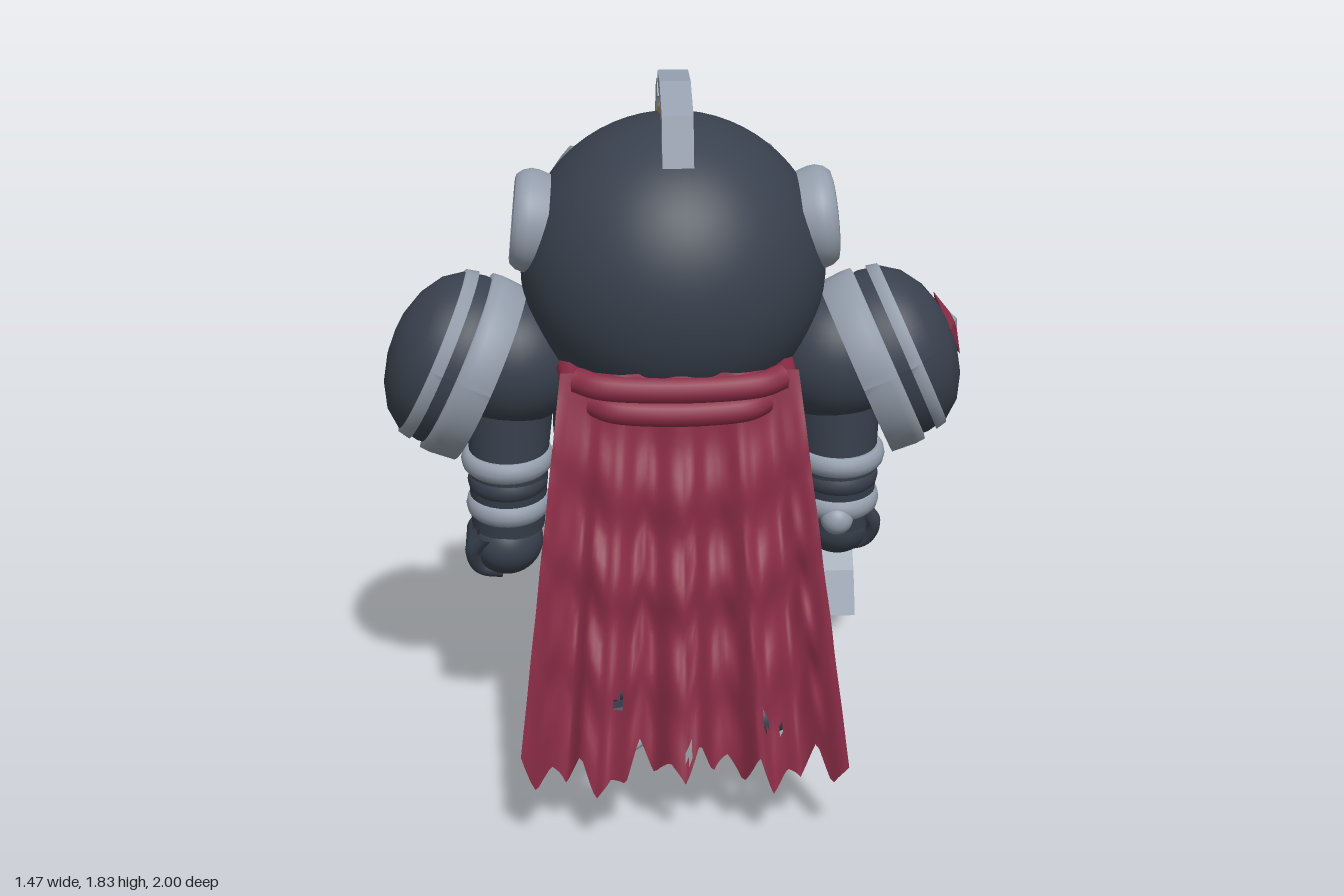
import * as THREE from 'three';

const paint = (name, color) => new THREE.MeshStandardMaterial({ name, color, side: THREE.DoubleSide });
const V = (x, y, z) => new THREE.Vector3(x, y, z);

export function createModel() {
  const navy = paint('dark armour', 0x39414e), steel = paint('steel', 0x949eac), red = paint('crimson cloth', 0x8b2d47);
  const black = paint('shadow black', 0x1c1c1d), gold = paint('gold', 0xc9922f), brown = paint('leather', 0x5f4a3c);
  const orange = paint('ember crack', 0xb4561f), darkBlade = paint('dark blade', 0x343a44);
  const model = new THREE.Group();

  const add = (parent, name, geo, mat, p = [0, 0, 0], r = [0, 0, 0], s = [1, 1, 1]) => {
    const m = new THREE.Mesh(geo, mat);
    m.name = name;
    m.position.set(...p); m.rotation.set(...r); m.scale.set(...s);
    parent.add(m);
    return m;
  };
  const ball = (parent, name, mat, p, s) => add(parent, name, new THREE.SphereGeometry(1, 40, 28), mat, p, [0, 0, 0], s);
  const group = (name, parent = model) => { const g = new THREE.Group(); g.name = name; parent.add(g); return g; };
  const tube = (parent, name, mat, pts, r, sharp = false) => add(parent, name,
    new THREE.TubeGeometry(new THREE.CatmullRomCurve3(pts, false, 'catmullrom', sharp ? 0 : 0.5), pts.length * 8, r, 8), mat);
  const limb = (parent, name, mat, a, b, ra, rb) => {
    const d = b.clone().sub(a), m = add(parent, name, new THREE.CylinderGeometry(rb, ra, d.length(), 28), mat);
    m.position.copy(a).addScaledVector(d, 0.5);
    m.quaternion.setFromUnitVectors(V(0, 1, 0), d.normalize());
  };
  const lathe = pts => new THREE.LatheGeometry(pts.map(p => new THREE.Vector2(...p)), 64).rotateZ(-Math.PI / 2);
  // plate outlined in (z, y), thick along x
  const sidePlate = (parent, name, mat, pts, x, width) => {
    const g = new THREE.ExtrudeGeometry(new THREE.Shape(pts.map(p => new THREE.Vector2(...p))), { depth: width, bevelEnabled: false });
    add(parent, name, g.rotateY(-Math.PI / 2).translate(x + width / 2, 0, 0), mat);
  };

  // ---------- head ----------
  const head = group('head'), HY = 1.335, HZ = 0.385, R = 0.385;
  const onHead = (a, y, r) => {
    const q = Math.sqrt(Math.max(0.001, r * r - (y - HY) ** 2));
    return [Math.sin(a) * q, y, HZ - Math.cos(a) * q];
  };
  // curved strip on the face: sections swept around the head
  const band = (name, mat, a0, a1, top, bottom, rIn, rOut) => {
    const pos = [], idx = [], n = 28;
    for (let i = 0; i <= n; i++) {
      const a = a0 + (a1 - a0) * i / n, o = rOut(a);
      const c = [[top(a), o], [(top(a) + bottom(a)) / 2, o], [bottom(a), o], [bottom(a), rIn], [top(a), rIn]];
      for (let k = 0; k < 5; k++) for (const e of [c[k], c[(k + 1) % 5]]) pos.push(...onHead(a, e[0], e[1]));
      if (i < n) for (let k = 0; k < 5; k++) {
        const p = i * 10 + k * 2, q = p + 10;
        idx.push(p, q, p + 1, p + 1, q, q + 1);
      }
    }
    for (const o of [0, n * 10]) idx.push(o, o + 2, o + 4, o, o + 4, o + 6, o, o + 6, o + 8);
    const g = new THREE.BufferGeometry();
    g.setAttribute('position', new THREE.Float32BufferAttribute(pos, 3));
    g.setIndex(idx); g.computeVertexNormals();
    add(head, name, g, mat);
  };
  const hood = new THREE.SphereGeometry(R, 64, 48, 0, Math.PI * 2, 1.14, Math.PI - 1.14);
  add(head, 'helmet', hood.rotateX(-Math.PI / 2 - 0.35), navy, [0, HY, HZ]);
  ball(head, 'face', black, [0, HY, HZ], [0.325, 0.335, 0.325]);
  band('brow', steel, -1.08, 1.08, a => 1.487 + 0.113 * Math.abs(a), a => 1.395 + 0.145 * Math.abs(a), 0.325, a => 0.383 + 0.014 * Math.abs(a));
  band('mouthGuard', steel, -0.98, 0.98, a => 1.295 + 0.015 * Math.abs(a), a => 1.10 + 0.02 * Math.abs(a), 0.315, a => 0.362 + 0.014 * Math.abs(a));
  for (const a of [-0.36, -0.12, 0.12, 0.36])
    band('breathSlit', navy, a - 0.026, a + 0.026, () => 1.25, () => 1.165, 0.36, b => 0.367 + 0.014 * Math.abs(b));
  for (const s of [-1, 1]) {
    const eye = group('eye', head);
    eye.position.set(...onHead(s * 0.35, 1.387, 0.334));
    eye.rotation.y = -s * 0.35;
    ball(eye, 'iris', gold, [0, 0, 0], [0.068, 0.068, 0.025]);
    ball(eye, 'pupil', black, [0, 0, -0.021], [0.014, 0.042, 0.009]);
    const ear = group('earDisc', head);
    ear.position.set(s * 0.345, 1.462, 0.425);
    ear.rotation.z = s * 0.1;
    ear.scale.x = s;
    add(ear, 'earRing', lathe([[0.118, -0.03], [0.128, 0], [0.13, 0.02], [0.124, 0.04], [0.112, 0.055], [0.1, 0.058], [0.098, 0.045]]), steel);
    add(ear, 'earCap', lathe([[0.1, 0.045], [0.06, 0.053], [0.0005, 0.056]]), navy);
  }
  // broken crest
  sidePlate(head, 'crestBack', steel, [[0.62, 1.64], [0.585, 1.76], [0.47, 1.82], [0.36, 1.825], [0.39, 1.795], [0.48, 1.775], [0.55, 1.73], [0.57, 1.65]], 0, 0.076);
  sidePlate(head, 'crestFront', steel, [[0.365, 1.76], [0.345, 1.79], [0.29, 1.79], [0.21, 1.65], [0.265, 1.66], [0.315, 1.745]], 0, 0.076);
  sidePlate(head, 'crestCore', navy, [[0.6, 1.64], [0.56, 1.74], [0.48, 1.79], [0.4, 1.8], [0.36, 1.76], [0.31, 1.76], [0.25, 1.64]], 0, 0.05);
  for (const s of [-1, 1]) ball(head, 'crestGem', gold, [s * 0.028, 1.745, 0.43], [0.014, 0.016, 0.045]).rotation.x = -0.35;

  // ---------- torso ----------
  const torso = group('torso');
  ball(torso, 'chest', navy, [0, 0.92, 0.39], [0.31, 0.31, 0.255]);
  ball(torso, 'hips', navy, [0, 0.58, 0.41], [0.255, 0.18, 0.215]);
  add(torso, 'belt', new THREE.CylinderGeometry(0.262, 0.268, 0.075, 44), brown, [0, 0.635, 0.4], [0, 0, 0], [1, 1, 0.86]);
  add(torso, 'buckle', new THREE.BoxGeometry(0.12, 0.08, 0.025), steel, [0, 0.635, 0.172]);
  const onChest = ([x, y]) => V(x, y, 0.388 - 0.255 * Math.sqrt(1 - (x / 0.31) ** 2 - ((y - 0.92) / 0.31) ** 2));
  for (const c of [[[-0.17, 1.02], [-0.13, 0.96], [-0.15, 0.9], [-0.09, 0.85]], [[0.2, 0.98], [0.17, 0.92], [0.19, 0.86]], [[-0.13, 0.96], [-0.09, 0.95]]])
    tube(torso, 'chestCrack', orange, c.map(onChest), 0.007, true);
  tube(torso, 'chestRim', navy, [[-0.23, 0.8], [-0.1, 0.72], [0, 0.7], [0.1, 0.72], [0.23, 0.8]].map(onChest), 0.017);
  const key = group('key', torso);
  key.position.set(0.205, 0.555, 0.155);
  add(key, 'keyRing', new THREE.TorusGeometry(0.042, 0.014, 10, 28), gold);
  add(key, 'keyShaft', new THREE.CylinderGeometry(0.013, 0.013, 0.11, 12), gold, [0, -0.095, 0]);
  for (const y of [-0.11, -0.14]) add(key, 'keyTooth', new THREE.BoxGeometry(0.045, 0.016, 0.018), gold, [0.02, y, 0]);

  // ---------- scarf and cape ----------
  const cloth = group('cloth');
  add(cloth, 'scarf', new THREE.TorusGeometry(0.26, 0.05, 14, 56), red, [0, 1.075, 0.37], [Math.PI / 2 + 0.06, 0, 0], [1, 1.02, 0.9]);
  for (const [y, w] of [[1.125, 0.25], [1.065, 0.21]])
    tube(cloth, 'capeRoll', red, [V(-w, y + 0.01, 0.69), V(-w * 0.7, y, 0.73), V(0, y - 0.005, 0.74), V(w * 0.7, y, 0.73), V(w, y + 0.01, 0.69)], 0.033);
  for (const s of [-1, 1]) {
    tube(cloth, 'shoulderCloth', red, [V(s * 0.26, 1.12, 0.69), V(s * 0.27, 1.11, 0.5), V(s * 0.28, 1.08, 0.2)], 0.03);
    const flap = new THREE.Shape([[-0.06, 0.08], [0.06, 0.08], [0.075, -0.07], [0.04, -0.04], [0.02, -0.1], [-0.015, -0.05], [-0.05, -0.09]].map(p => new THREE.Vector2(...p)));
    add(cloth, 'scarfEnd', new THREE.ExtrudeGeometry(flap, { depth: 0.02, bevelEnabled: false }), red, [s * 0.24, 1.03, 0.15], [0.1, -s * 0.5, 0]);
  }
  const nx = 96, ny = 40, cape = new THREE.PlaneGeometry(2, 1, nx, ny), cp = cape.attributes.position;
  for (let i = 0; i < cp.count; i++) {
    const u = cp.getX(i), t = 0.5 - cp.getY(i), w = 0.29 + 0.11 * t;
    const saw = Math.abs(((u + 1) * 5.5) % 1 - 0.5) * 2;                    // ragged hem
    const hem = 0.17 + 0.1 * saw * (0.75 + 0.25 * Math.sin(u * 17)) + 0.02 * Math.cos(u * 5);
    const fold = 0.045 * (0.15 + 0.85 * t) * Math.cos(u * 4 * Math.PI);
    const swag = 0.013 * Math.sin(26 * (t + 0.16 * u * u)) * Math.sin(t * Math.PI); // hanging drape lines
    cp.setXYZ(i, u * w, 1.155 + (hem - 1.155) * t, 0.715 + 0.235 * t - 0.025 * u * u * (1 - t) + fold + swag);
  }
  const holes = [[-0.16, 0.38, 0.016], [0.2, 0.335, 0.014], [0.235, 0.3, 0.01], [0.01, 0.265, 0.014]], ci = [...cape.index.array], kept = [];
  for (let i = 0; i < ci.length; i += 6) {
    const x = (cp.getX(ci[i]) + cp.getX(ci[i + 4])) / 2, y = (cp.getY(ci[i]) + cp.getY(ci[i + 4])) / 2;
    if (!holes.some(h => Math.hypot(x - h[0], y - h[1]) < h[2])) kept.push(...ci.slice(i, i + 6));
  }
  cape.setIndex(kept); cape.computeVertexNormals();
  add(cloth, 'cape', cape, red);

  // ---------- arms and legs ----------
  // rings around the pauldron axis, bent into a pointed-arch shield outline
  const shield = pts => {
    const g = lathe(pts), p = g.attributes.position;
    for (let i = 0; i < p.count; i++) {
      const y = p.getY(i), z = p.getZ(i), l = Math.hypot(y, z) || 1, c = y / l, s = Math.abs(z) / l;
      const k = c < 0 ? Math.sqrt(1.638 - 0.078 * c * c) - 0.28 * s : Math.sqrt(1.221 - 0.011 * c * c) - 0.105 * s;
      p.setXYZ(i, p.getX(i), y * k, z * k);
    }
    g.computeVertexNormals();
    return g;
  };
  for (const s of [-1, 1]) {
    const arm = group(s > 0 ? 'leftArm' : 'rightArm');
    arm.scale.x = s;
    ball(arm, 'shoulder', navy, [0.41, 1.1, 0.4], [0.18, 0.18, 0.18]);
    limb(arm, 'upperArm', navy, V(0.425, 0.82, 0.42), V(0.42, 1.0, 0.41), 0.1, 0.115);
    limb(arm, 'forearm', navy, V(0.43, 0.64, 0.39), V(0.425, 0.85, 0.42), 0.095, 0.105);
    for (const [y, z, r, mat] of [[0.835, 0.42, 0.1, steel], [0.775, 0.415, 0.085, navy], [0.705, 0.405, 0.09, steel]])
      add(arm, 'armBand', new THREE.TorusGeometry(r, 0.019, 10, 40), mat, [0.428, y, z], [Math.PI / 2 + 0.12, 0, 0], [1, 1, 1.5]);
    ball(arm, 'hand', navy, [0.435, s > 0 ? 0.62 : 0.59, s > 0 ? 0.36 : 0.385], [0.095, 0.09, 0.11]);
    for (let i = 0; i < 4; i++) {
      const z = (s > 0 ? 0.43 : 0.45) - i * 0.048, y = s > 0 ? 0.635 - i * 0.01 : 0.585;
      tube(arm, 'finger', navy, [V(0.49, y + 0.05, z + 0.02), V(0.52, y, z), V(0.5, y - 0.055, z - 0.025), V(0.445, y - 0.065, z - 0.025)], 0.023);
    }
    const pad = group('pauldron', arm);
    pad.position.set(0.53, 1.1, 0.415);
    pad.rotation.z = 0.42;
    add(pad, 'pauldronDome', shield([[0.195, -0.03], [0.2, 0.03], [0.19, 0.085], [0.16, 0.13], [0.11, 0.165], [0.05, 0.185], [0.0005, 0.19]]), navy);
    add(pad, 'pauldronRim', shield([[0.19, -0.075], [0.21, -0.075], [0.214, -0.01], [0.212, 0.015], [0.19, 0.02]]), steel);
    add(pad, 'pauldronBand', shield([[0.19, 0.052], [0.203, 0.052], [0.197, 0.082], [0.18, 0.088]]), steel);
    if (s > 0) {
      add(pad, 'redDiamond', new THREE.OctahedronGeometry(1), red, [0.184, 0, 0], [0, 0, 0], [0.024, 0.092, 0.058]);
      add(pad, 'diamondHeart', new THREE.OctahedronGeometry(1), steel, [0.198, 0, 0], [0, 0, 0], [0.014, 0.034, 0.018]);
    }

    const leg = group(s > 0 ? 'leftLeg' : 'rightLeg');
    leg.scale.x = s;
    ball(leg, 'thigh', navy, [0.18, 0.45, 0.385], [0.165, 0.165, 0.17]);
    limb(leg, 'shin', navy, V(0.2, 0.1, 0.41), V(0.195, 0.33, 0.41), 0.125, 0.11);
    add(leg, 'ankleBand', new THREE.CylinderGeometry(0.118, 0.123, 0.035, 36), steel, [0.2, 0.295, 0.415]);
    add(leg, 'ankleStrap', new THREE.CylinderGeometry(0.126, 0.128, 0.014, 36), brown, [0.2, 0.268, 0.415]);
    add(leg, 'bootCuff', new THREE.TorusGeometry(0.105, 0.03, 10, 36), navy, [0.2, 0.2, 0.41], [Math.PI / 2, 0, 0]);
    add(leg, 'shinGuard', new THREE.CylinderGeometry(0.132, 0.137, 0.16, 20, 1, true, Math.PI - 0.85, 1.7), navy, [0.2, 0.275, 0.415]);
    ball(leg, 'boot', navy, [0.2, 0.115, 0.26], [0.157, 0.085, 0.175]);
    ball(leg, 'heel', navy, [0.2, 0.11, 0.42], [0.145, 0.08, 0.135]);
    ball(leg, 'sole', steel, [0.2, 0.045, 0.345], [0.167, 0.045, 0.237]);
  }

  // ---------- sword ----------
  const sword = group('sword');
  limb(sword, 'grip', brown, V(0.425, 0.67, 0.47), V(0.425, 0.54, 0.16), 0.03, 0.03);
  ball(sword, 'pommel', steel, [0.42, 0.67, 0.485], [0.042, 0.042, 0.042]);
  sidePlate(sword, 'guard', steel, [[0.185, 0.82], [0.11, 0.83], [0.12, 0.67], [0.175, 0.53], [0.25, 0.43], [0.29, 0.31], [0.375, 0.34], [0.325, 0.45], [0.24, 0.56], [0.195, 0.67]], 0.43, 0.12);
  // diamond section stations: top edge (z, y), bottom edge (z, y), centre x, half thickness
  const st = [[0.1, 0.6, 0.18, 0.44, 0.425, 0.052], [0.0, 0.605, 0.12, 0.42, 0.427, 0.052], [-0.72, 0.28, -0.67, 0.125, 0.45, 0.032], [-1, 0.1, -1, 0.1, 0.455, 0]];
  const ring = ([zt, yt, zb, yb, x, h]) => [V(x, yt, zt), V(x + h, (yt + yb) / 2, (zt + zb) / 2), V(x, yb, zb), V(x - h, (yt + yb) / 2, (zt + zb) / 2)];
  for (let k = 0; k < 4; k++) {
    const pts = [];
    for (let i = 0; i < 3; i++) {
      const a = ring(st[i]), b = ring(st[i + 1]), j = (k + 1) % 4;
      pts.push(a[k], a[j], b[k], a[j], b[j], b[k]);
    }
    const g = new THREE.BufferGeometry().setFromPoints(pts);
    g.computeVertexNormals();
    add(sword, 'bladeFace', g, k % 2 ? darkBlade : steel);
  }
  const onBlade = ([z, y], s) => {
    const f = (0.1 - z) / 0.8, mid = 0.515 - 0.31 * f, taper = Math.min(1, (z + 1) / 0.3);
    const h = (0.052 - 0.02 * f) * taper;
    return V(0.425 + 0.025 * f + s * (h * Math.max(0, 1 - Math.abs(y - mid) / (0.1 * taper)) + 0.002), y, z);
  };
  const cracks = [[[0.04, 0.56], [-0.02, 0.53], [-0.07, 0.49]], [[-0.16, 0.42], [-0.2, 0.37], [-0.27, 0.31]],
    [[-0.26, 0.41], [-0.33, 0.37], [-0.42, 0.385], [-0.52, 0.375]], [[-0.5, 0.27], [-0.6, 0.23], [-0.7, 0.2], [-0.86, 0.15]]];
  for (const s of [-1, 1]) for (const c of cracks) tube(sword, 'bladeCrack', orange, c.map(p => onBlade(p, s)), 0.008, true);
  return model;
}
